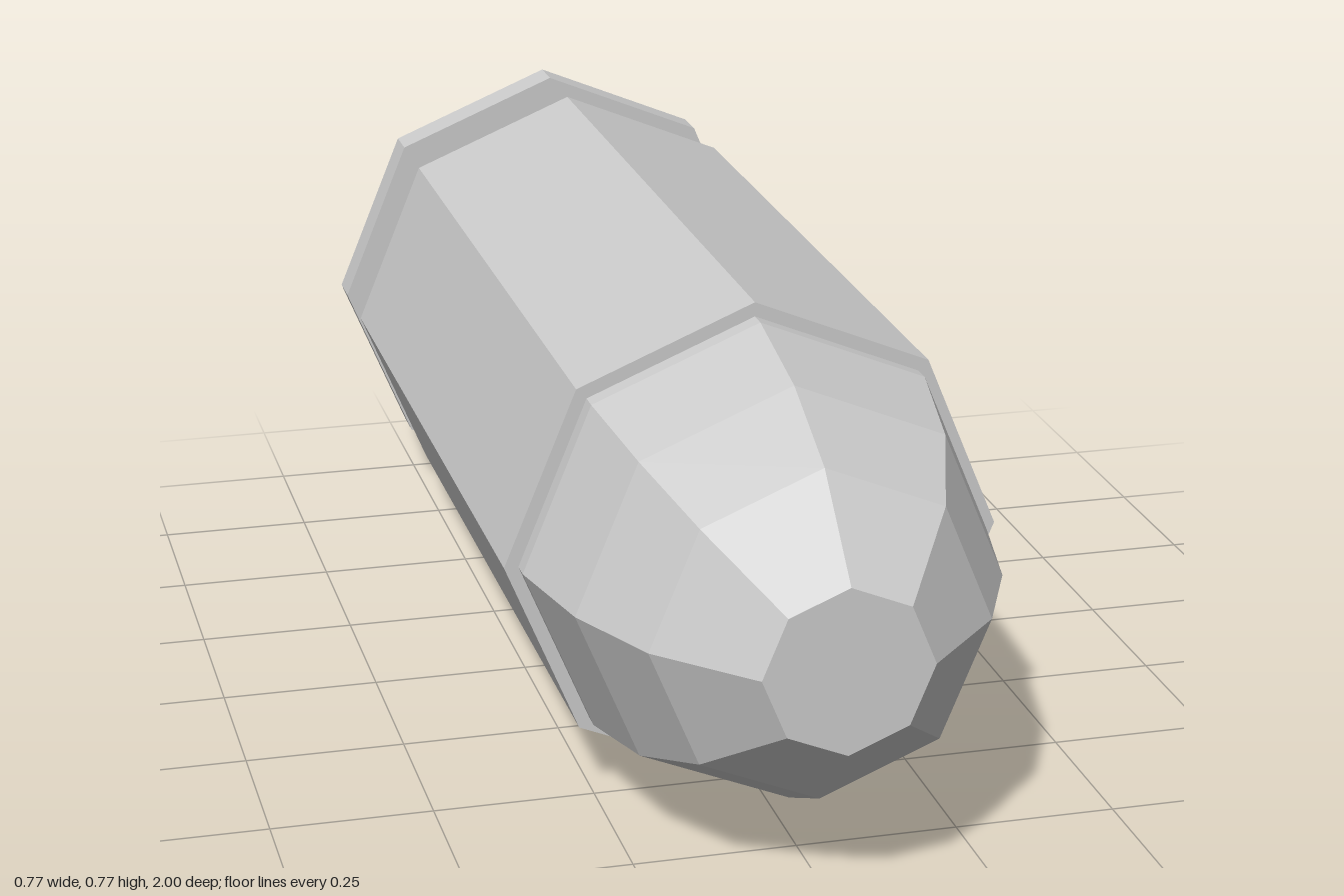
import * as THREE from 'three';

const SIDES = 8;
const AXIS_HEIGHT = 0.385;

export function createModel() {
  const metal = new THREE.MeshStandardMaterial({ color: 0xcccccc, flatShading: true });
  metal.name = 'grey metal';

  const group = new THREE.Group();
  group.name = 'cartridge';

  // Turns a profile of [radius, z] points, listed back to front, around the long axis
  const turned = (name, profile) => {
    const geometry = new THREE.LatheGeometry(profile.map(([r, z]) => new THREE.Vector2(r, z)), SIDES);
    geometry.rotateX(Math.PI / 2);
    const mesh = new THREE.Mesh(geometry, metal);
    mesh.name = name;
    mesh.position.y = AXIS_HEIGHT;
    group.add(mesh);
  };

  // Case with bevelled rim, extractor groove, shoulder and open front lip
  turned('case', [
    [0, -0.995], [0.345, -0.995], [0.385, -0.952], [0.385, -0.887],
    [0.315, -0.887], [0.315, -0.815], [0.385, -0.745], [0.385, 0.5], [0.355, 0.5],
  ]);

  // Rounded nose with a flat tip
  turned('bullet', [
    [0.363, 0.49], [0.363, 0.53], [0.325, 0.71], [0.255, 0.865], [0.127, 1], [0, 1],
  ]);

  // Small bevelled disc in the middle of the back
  turned('primer', [[0.128, -0.99], [0.128, -0.996], [0.115, -1], [0, -1]].map(([r, z]) => [r, z]).reverse());

  return group;
}
